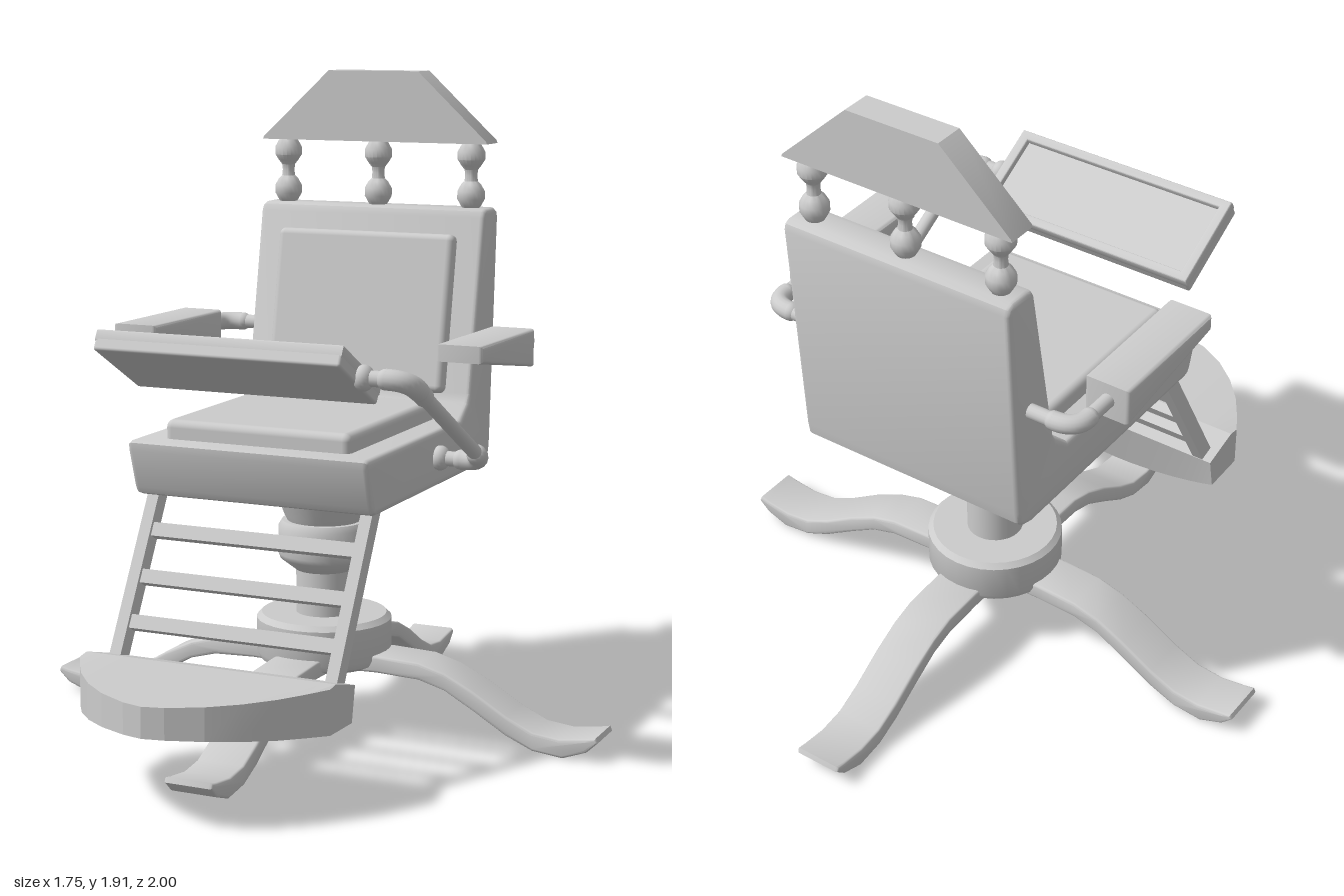
import * as THREE from 'three';
import { toCreasedNormals } from 'three/addons/utils/BufferGeometryUtils.js';
import { RoundedBoxGeometry } from 'three/addons/geometries/RoundedBoxGeometry.js';

const V = (x, y, z) => new THREE.Vector3(x, y, z);
const V2 = (p) => new THREE.Vector2(p[0], p[1]);

export function createModel() {
  const root = new THREE.Group();
  const mat = new THREE.MeshStandardMaterial({ color: 0xcccccc });

  function add(name, geo, pos = [0, 0, 0], rotX = 0, parent = root) {
    const m = new THREE.Mesh(geo, mat);
    m.name = name;
    m.position.set(...pos);
    m.rotation.x = rotX;
    parent.add(m);
    return m;
  }
  // Bevelled extrusion whose outline is the outer limit, centred on its depth
  function extrude(shape, depth, bevel) {
    const g = new THREE.ExtrudeGeometry(shape, {
      depth: depth - 2 * bevel, bevelEnabled: bevel > 0, bevelSize: bevel,
      bevelThickness: bevel, bevelOffset: -bevel, bevelSegments: 3, curveSegments: 6,
    });
    g.translate(0, 0, -(depth - 2 * bevel) / 2);
    return toCreasedNormals(g, 0.6);
  }
  // Side profile given as (z, y), extruded across x
  const sideExtrude = (pts, width, bevel) =>
    extrude(new THREE.Shape(pts.map(V2)), width, bevel).rotateY(-Math.PI / 2);
  const lathe = (pts, n = 32) => toCreasedNormals(new THREE.LatheGeometry(pts.map(V2), n), 0.6);
  const box = (w, h, d, r) => new RoundedBoxGeometry(w, h, d, 3, r);

  // Straight rod between two points
  function rod(name, a, b, r) {
    const m = add(name, new THREE.CylinderGeometry(r, r, a.distanceTo(b), 16));
    m.position.copy(a).lerp(b, 0.5);
    m.quaternion.setFromUnitVectors(V(0, 1, 0), b.clone().sub(a).normalize());
  }
  // Thicker bend joining two rods, with rounded ends
  function elbow(name, a, corner, b, r) {
    add(name, new THREE.TubeGeometry(new THREE.QuadraticBezierCurve3(a, corner, b), 12, r, 16));
    for (const p of [a, b]) add(name + 'End', new THREE.SphereGeometry(r, 16, 10), p.toArray());
  }

  // Four curved legs
  const cz = -0.125;
  const topEdge = [[0.2, 0.235], [0.33, 0.23], [0.41, 0.208], [0.5, 0.165], [0.6, 0.105], [0.68, 0.068], [0.76, 0.059], [0.84, 0.07]];
  const underEdge = [[0.84, 0.03], [0.77, 0.004], [0.68, 0.014], [0.6, 0.048], [0.5, 0.108], [0.41, 0.158], [0.33, 0.18], [0.2, 0.185]];
  const legShape = new THREE.Shape([[0, 0.225], ...topEdge, [0.868, 0.076], [0.874, 0.062], ...underEdge, [0, 0.18]].map(V2));
  const legGeo = extrude(legShape, 0.145, 0.008);
  for (let i = 0; i < 4; i++) add('leg', legGeo, [0, 0, cz]).rotation.y = i * Math.PI / 2;

  // Pedestal: hub, pole, collar and flared cup
  add('baseHub', lathe([[0, 0.185], [0.16, 0.185], [0.19, 0.2], [0.2, 0.22], [0.2, 0.32], [0.185, 0.335], [0, 0.335]]), [0, 0, cz]);
  add('basePlug', new THREE.CylinderGeometry(0.045, 0.035, 0.04, 20), [0, 0.185, cz]);
  add('pole', new THREE.CylinderGeometry(0.083, 0.083, 0.2, 28), [0, 0.41, cz]);
  add('collar', lathe([[0, 0.463], [0.085, 0.465], [0.13, 0.5], [0.136, 0.515], [0.136, 0.595], [0.125, 0.613], [0, 0.615]]), [0, 0, cz]);
  add('seatCup', lathe([[0, 0.61], [0.108, 0.61], [0.118, 0.63], [0.163, 0.745], [0, 0.75]]), [0, 0, cz]);

  // One-piece seat and back shell
  add('seatShell', sideExtrude([
    [0.385, 0.908], [0.402, 0.902], [0.4, 0.88], [0.365, 0.77], [0.355, 0.752], [0.335, 0.745],
    [-0.47, 0.745], [-0.505, 0.755], [-0.526, 0.775], [-0.532, 0.81],
    [-0.576, 1.48], [-0.57, 1.5], [-0.55, 1.51], [-0.485, 1.51], [-0.465, 1.503], [-0.455, 1.485],
    [-0.36, 0.975], [-0.345, 0.95], [-0.29, 0.908]], 0.73, 0.015));
  add('seatCushion', box(0.565, 0.1, 0.62, 0.022), [0, 0.912, 0.025]);
  add('backCushion', box(0.57, 0.47, 0.085, 0.02), [0, 1.2, -0.409], -0.19);

  // Head board on three turned spindles
  const spindle = lathe([[0.02, 1.5], [0.03, 1.515], [0.041, 1.535], [0.041, 1.558], [0.03, 1.578], [0.02, 1.588],
    [0.018, 1.605], [0.02, 1.622], [0.03, 1.635], [0.041, 1.652], [0.041, 1.675], [0.03, 1.695], [0.02, 1.71]], 20);
  for (const x of [-0.3, 0, 0.3]) add('headSpindle', spindle, [x, 0, -0.515]);
  add('headBoard', extrude(new THREE.Shape([[-0.365, 1.7], [0.365, 1.7], [0.362, 1.708], [0.145, 1.91], [-0.145, 1.91], [-0.362, 1.708]].map(V2)), 0.09, 0),
    [0, 0, -0.515]);

  // Armrests on bent pipes
  const armGeo = sideExtrude([[0.1, 1.188], [0.1, 1.14], [-0.325, 1.075], [-0.325, 1.185]], 0.14, 0.012);
  for (const s of [-1, 1]) {
    add('armPad', armGeo, [s * 0.505, 0, 0]);
    rod('armPipe', V(s * 0.33, 1.132, -0.478), V(s * 0.45, 1.132, -0.478), 0.021);
    elbow('armElbow', V(s * 0.44, 1.132, -0.478), V(s * 0.508, 1.132, -0.478), V(s * 0.508, 1.132, -0.415), 0.027);
    rod('armPipe', V(s * 0.508, 1.132, -0.415), V(s * 0.508, 1.132, -0.31), 0.021);
  }

  // Tilted tray with raised rim
  const tray = new THREE.Group();
  tray.name = 'tray';
  tray.position.set(0, 1.145, 0.447);
  tray.rotation.x = -0.51;
  root.add(tray);
  add('trayBase', box(0.73, 0.04, 0.285, 0.008), [0, -0.01, 0], 0, tray);
  const rect = (C, w, h) => new C([[-w, -h], [w, -h], [w, h], [-w, h]].map(V2));
  const rim = rect(THREE.Shape, 0.365, 0.1425);
  rim.holes.push(rect(THREE.Path, 0.335, 0.115));
  add('trayRim', extrude(rim, 0.034, 0.004), [0, 0.013, 0], -Math.PI / 2, tray);

  // Swing arm linking the tray to the seat side
  const t0 = V(0.505, 1.14, 0.45), t1 = V(0.505, 0.83, -0.1);
  const along = t1.clone().sub(t0).normalize();
  const near = t0.clone().addScaledVector(along, 0.07), far = t1.clone().addScaledVector(along, -0.06);
  rod('trayArm', near, far, 0.021);
  rod('trayArmSleeve', t0.clone().addScaledVector(along, 0.06), t0.clone().addScaledVector(along, 0.12), 0.027);
  elbow('trayElbow', V(0.44, t0.y, t0.z), t0, near, 0.029);
  elbow('seatElbow', V(0.44, t1.y, t1.z), t1, far, 0.029);
  for (const p of [t0, t1]) {
    rod('trayPivot', V(0.34, p.y, p.z), V(0.45, p.y, p.z), 0.022);
    add('trayPivotBall', new THREE.SphereGeometry(0.036, 18, 12), [0.375, p.y, p.z]).scale.x = 0.8;
  }

  // Ladder-like footrest support
  const tilt = -0.514;
  for (const s of [-1, 1]) add('footrestRail', new THREE.BoxGeometry(0.035, 0.54, 0.05), [s * 0.328, 0.53, 0.412], tilt);
  for (const y of [0.645, 0.525, 0.41]) {
    add('footrestRung', new THREE.BoxGeometry(0.63, 0.04, 0.03), [0, y, 0.412 - (y - 0.53) * 0.565], tilt);
  }

  // Footplate: five-point (z, y) sections lofted across x
  const half = [[0, 1.0], [0.06, 0.985], [0.15, 0.937], [0.225, 0.875], [0.29, 0.8], [0.335, 0.73], [0.375, 0.66]];
  const sections = [...half.slice(1).reverse().map(([x, z]) => [-x, z]), ...half].map(([x, zf]) => {
    const k = (x / 0.375) ** 2;
    return [[0.5, 0.32], [0.625, 0.355], [zf, 0.35], [zf, 0.265 - 0.04 * k], [0.55 - 0.03 * k, 0.145 + 0.075 * k]]
      .map(([z, y]) => [x, y, z]);
  });
  const pos = [];
  for (let i = 0; i < sections.length - 1; i++) {
    const a = sections[i], b = sections[i + 1];
    for (let j = 0; j < 5; j++) {
      const n = (j + 1) % 5;
      pos.push(...a[j], ...a[n], ...b[j], ...b[j], ...a[n], ...b[n]);
    }
  }
  const first = sections[0], last = sections[sections.length - 1];
  for (let j = 1; j < 4; j++) {
    pos.push(...first[0], ...first[j + 1], ...first[j]);
    pos.push(...last[0], ...last[j], ...last[j + 1]);
  }
  const plate = new THREE.BufferGeometry();
  plate.setAttribute('position', new THREE.Float32BufferAttribute(pos, 3));
  add('footplate', toCreasedNormals(plate, 0.2));

  return root;
}
